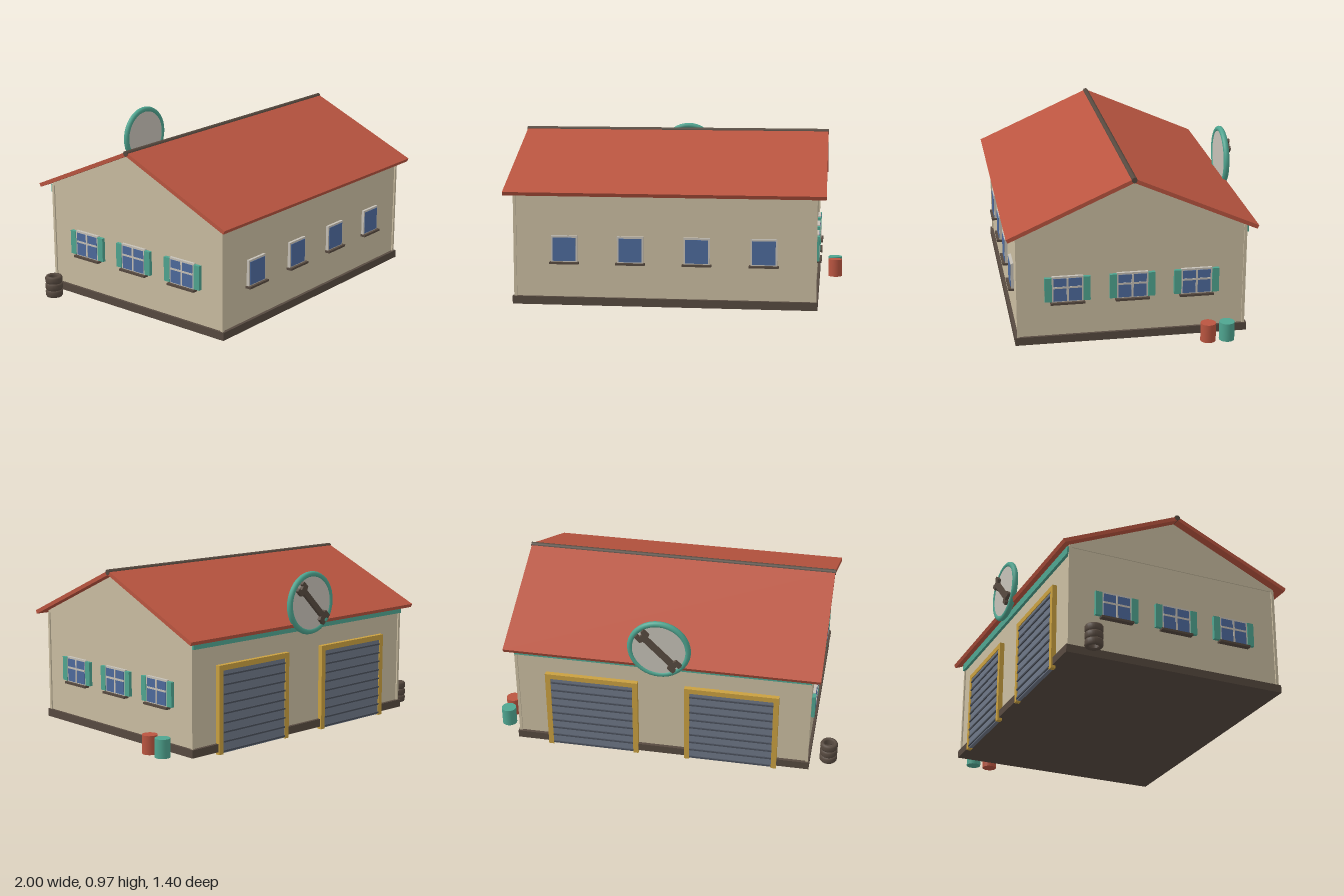
import * as THREE from 'three';

const mat = (name, color, extra = {}) => {
  const m = new THREE.MeshStandardMaterial({ color, ...extra });
  m.name = name;
  return m;
};

export function createModel() {
  const wallMat = mat('cream wall', 0xcabda1);
  const roofMat = mat('red roof', 0xba5540);
  const darkMat = mat('dark brown', 0x574a40);
  const tealMat = mat('teal', 0x4fa590);
  const paleMat = mat('pale grey', 0xc6c1b7);
  const glassMat = mat('blue glass', 0x4d6a9c);
  const doorMat = mat('door grey', 0x6e7787);
  const ribMat = mat('door rib', 0x4a505b);
  const yellowMat = mat('yellow trim', 0xc9a040);

  const model = new THREE.Group();
  model.name = 'garage';

  const add = (parent, name, geometry, material, x = 0, y = 0, z = 0) => {
    const mesh = new THREE.Mesh(geometry, material);
    mesh.name = name;
    mesh.position.set(x, y, z);
    parent.add(mesh);
    return mesh;
  };
  const box = (parent, name, material, w, h, d, x, y, z) =>
    add(parent, name, new THREE.BoxGeometry(w, h, d), material, x, y, z);

  // The building is centred in its own group
  const house = new THREE.Group();
  house.name = 'building';
  house.position.set(0.007, 0, 0.0115);
  model.add(house);
  const HX = 0.84, HZ = 0.628;

  // Plinth, walls and corner posts
  box(house, 'plinth', darkMat, 1.71, 0.045, 1.293, 0, 0.0375, 0);
  box(house, 'walls', wallMat, HX * 2, 0.6, HZ * 2, 0, 0.345, 0);
  for (const sx of [-1, 1]) for (const sz of [-1, 1]) {
    box(house, 'cornerPost', wallMat, 0.016, 0.59, 0.016, sx * HX, 0.35, sz * HZ);
  }

  // Gable block under the roof
  const gable = new THREE.Shape([
    new THREE.Vector2(-0.634, 0.642), new THREE.Vector2(0.634, 0.642),
    new THREE.Vector2(0.634, 0.656), new THREE.Vector2(0, 0.937), new THREE.Vector2(-0.634, 0.656),
  ]);
  const gableGeo = new THREE.ExtrudeGeometry(gable, { depth: 1.692, bevelEnabled: false });
  gableGeo.translate(0, 0, -0.846).rotateY(Math.PI / 2);
  add(house, 'gable', gableGeo, wallMat);

  // Roof slopes and ridge cap
  const pitch = 0.417, slope = 0.748;
  for (const s of [-1, 1]) {
    const geo = new THREE.BoxGeometry(1.793, 0.022, slope).translate(0, 0, s * slope / 2);
    add(house, 'roofSlope', geo, roofMat, 0, 0.947, 0).rotation.x = s * pitch;
  }
  add(house, 'ridgeCap', new THREE.CylinderGeometry(0.016, 0.016, 1.8, 8).rotateZ(Math.PI / 2),
    darkMat, 0, 0.95, 0);

  // Windows face +z locally, with the wall surface at z = 0
  const makeWindow = (width, shutters) => {
    const g = new THREE.Group();
    g.name = 'window';
    box(g, 'windowFrame', paleMat, width, 0.148, 0.016, 0, 0.334, 0.008);
    box(g, 'windowGlass', glassMat, width - 0.018, 0.132, 0.004, 0, 0.331, 0.0165);
    box(g, 'windowSill', darkMat, width + 0.017, 0.012, 0.032, 0, 0.254, 0.016);
    if (shutters) {
      box(g, 'mullion', paleMat, 0.011, 0.134, 0.006, 0, 0.331, 0.0175);
      box(g, 'transom', paleMat, width - 0.016, 0.011, 0.006, 0, 0.345, 0.0175);
      for (const s of [-1, 1]) {
        box(g, 'shutter', tealMat, 0.039, 0.139, 0.02, s * (width / 2 + 0.0195), 0.333, 0.01);
      }
    }
    house.add(g);
    return g;
  };
  for (let i = 0; i < 4; i++) {
    makeWindow(0.147, false).position.set((i - 1.5) * 0.372, 0, HZ);
  }
  for (const s of [-1, 1]) for (let i = -1; i <= 1; i++) {
    const w = makeWindow(0.173, true);
    w.position.set(s * HX, 0, i * 0.357);
    w.rotation.y = s * Math.PI / 2;
  }

  // Teal fascia along the back
  box(house, 'fascia', tealMat, 1.69, 0.044, 0.018, 0, 0.622, -HZ - 0.008);

  // Two roller doors on the back
  for (const s of [-1, 1]) {
    const door = new THREE.Group();
    door.name = 'rollerDoor';
    door.position.set(s * 0.402, 0, -HZ);
    house.add(door);
    box(door, 'doorPanel', doorMat, 0.48, 0.462, 0.022, 0, 0.236, -0.011);
    for (let i = 0; i < 9; i++) {
      box(door, 'doorRib', ribMat, 0.474, 0.009, 0.029, 0, 0.016 + i * 0.0525, -0.0145);
    }
    for (const e of [-1, 1]) {
      box(door, 'doorJamb', yellowMat, 0.03, 0.492, 0.027, e * 0.2525, 0.246, -0.0135);
    }
    box(door, 'doorLintel', yellowMat, 0.535, 0.03, 0.0272, 0, 0.477, -0.0136);
  }

  // Round sign with a spanner on its back face
  const sign = new THREE.Group();
  sign.name = 'sign';
  sign.position.set(0.007, 0.761, -0.672);
  model.add(sign);
  add(sign, 'signRim', new THREE.TorusGeometry(0.162, 0.017, 10, 40), tealMat);
  add(sign, 'signFace', new THREE.CylinderGeometry(0.16, 0.16, 0.022, 40).rotateX(Math.PI / 2), paleMat);
  const half = [[0.016, 0.1], [0.036, 0.106], [0.036, 0.15], [0.014, 0.15], [0.014, 0.134]];
  const mirrorX = half.map(([x, y]) => [-x, y]).reverse();
  const head = [...half, ...mirrorX];
  const outline = [...head, ...head.map(([x, y]) => [-x, -y])];
  const spannerGeo = new THREE.ExtrudeGeometry(
    new THREE.Shape(outline.map(([x, y]) => new THREE.Vector2(x, y))),
    { depth: 0.024, bevelEnabled: false });
  add(sign, 'spanner', spannerGeo, darkMat, 0, 0, -0.032).rotation.z = -Math.PI / 4;

  // Barrels beside the left wall
  const barrelGeo = new THREE.CylinderGeometry(0.0425, 0.0425, 0.105, 24);
  add(model, 'redBarrel', barrelGeo, roofMat, 0.956, 0.0675, -0.395);
  add(model, 'tealBarrel', barrelGeo, tealMat, 0.956, 0.0675, -0.5);

  // Stack of three tyres
  const tyreProfile = [
    [0.027, -0.013], [0.032, -0.0205], [0.044, -0.0205], [0.05, -0.011],
    [0.05, 0.011], [0.044, 0.0205], [0.032, 0.0205], [0.027, 0.013], [0.027, -0.013],
  ].map(([r, y]) => new THREE.Vector2(r, y));
  const tyreGeo = new THREE.LatheGeometry(tyreProfile, 24);
  for (let i = 0; i < 3; i++) add(model, 'tyre', tyreGeo, darkMat, -0.95, 0.037 + i * 0.0412, -0.524);

  return model;
}
